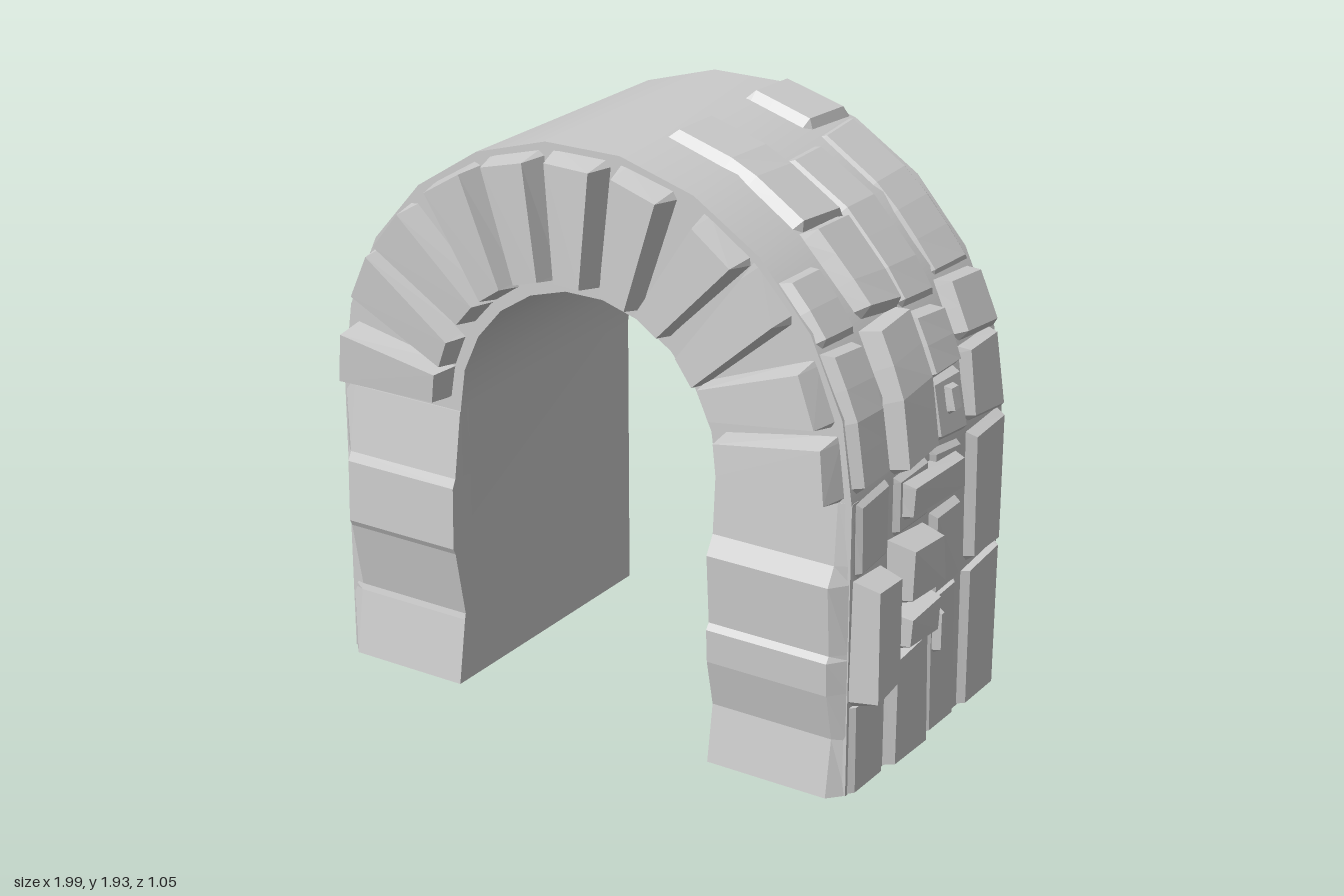
import * as THREE from 'three';
import { toCreasedNormals } from 'three/addons/utils/BufferGeometryUtils.js';

const CX = -0.05, CY = 0.96, RO = 0.95, RI = 0.48, BACK = -0.53, FRONT = 0.42;
const SEG = 11, STEP = Math.PI / SEG;
const smooth = new THREE.MeshStandardMaterial({ color: 0xcccccc });
const flat = new THREE.MeshStandardMaterial({ color: 0xcccccc, flatShading: true });

// Faceted surface from a grid of points
function gridGeometry(rows) {
  const pos = [];
  const put = (...ps) => ps.forEach(p => pos.push(p.x, p.y, p.z));
  for (let i = 0; i + 1 < rows.length; i++)
    for (let j = 0; j + 1 < rows[i].length; j++) {
      const a = rows[i][j], b = rows[i + 1][j], c = rows[i + 1][j + 1], d = rows[i][j + 1];
      put(a, b, c, a, c, d);
    }
  const g = new THREE.BufferGeometry();
  g.setAttribute('position', new THREE.Float32BufferAttribute(pos, 3));
  g.computeVertexNormals();
  return g;
}

// Bevelled stone on a surface: corners and heights in the order (u0,v0) (u1,v0) (u1,v1) (u0,v1)
function stone(map, q, h, bevelU, bevelV, n) {
  const mix = (f, s, t) => (1 - t) * ((1 - s) * f(0) + s * f(1)) + t * ((1 - s) * f(3) + s * f(2));
  const ss = [0];
  for (let i = 0; i <= n; i++) ss.push(bevelU + (1 - 2 * bevelU) * i / n);
  ss.push(1);
  const ts = [0, bevelV, 1 - bevelV, 1];
  return gridGeometry(ss.map((s, i) => ts.map((t, j) => {
    const edge = i === 0 || i === ss.length - 1 || j === 0 || j === 3;
    return map(mix(k => q[k][0], s, t), mix(k => q[k][1], s, t), edge ? -0.01 : mix(k => h[k], s, t));
  })));
}

// Right outer wall: u climbs the jamb, then follows the faceted arch; v is z
function wall(u, v, d) {
  if (u <= CY) return new THREE.Vector3(CX + RO + d, Math.max(0, u), v);
  const a = (u - CY) / RO;
  const r = RO * Math.cos(STEP / 2) / Math.cos((a % STEP) - STEP / 2) + d;
  return new THREE.Vector3(CX + r * Math.cos(a), CY + r * Math.sin(a), v);
}

// Front face of the arch: u is radius, v is angle
const face = (u, v, d) => new THREE.Vector3(CX + u * Math.cos(v), CY + u * Math.sin(v), FRONT + d);

export function createModel() {
  const model = new THREE.Group();
  const add = (geo, name, material, parent) => {
    const mesh = new THREE.Mesh(geo, material);
    mesh.name = name;
    parent.add(mesh);
  };
  const group = name => {
    const g = new THREE.Group();
    g.name = name;
    model.add(g);
    return g;
  };
  let seed = 7;
  const jitter = amount => {
    seed = (seed * 16807) % 2147483647;
    return amount * (2 * seed / 2147483647 - 1);
  };

  // Plain vaulted body
  const arc = r => Array.from({ length: SEG + 1 }, (_, i) =>
    new THREE.Vector2(CX + r * Math.cos(i * STEP), CY + r * Math.sin(i * STEP)));
  const foot = x => new THREE.Vector2(CX + x, 0);
  const outline = [foot(RO), ...arc(RO), foot(-RO), foot(-RI), ...arc(RI).reverse(), foot(RI)];
  const body = new THREE.ExtrudeGeometry(new THREE.Shape(outline), { depth: FRONT - BACK, bevelEnabled: false });
  body.translate(0, 0, BACK);
  add(toCreasedNormals(body, 0.5), 'archBody', smooth, model);

  // Ring of eleven tapered stones on the front, each turned a little
  const ring = group('archStones');
  const skews = [0.02, 0.05, -0.03, 0.03, -0.02, 0, 0.02, 0.03, -0.02, 0.04, -0.02];
  skews.forEach((skew, i) => {
    const a = (i + 0.5) * STEP, w = 0.116, ri = 0.515, ro = 0.925;
    const q = [[ri, a - w + skew], [ro, a - w - skew], [ro, a + w - skew], [ri, a + w + skew]];
    const h = 0.1 - 0.5 * Math.abs(skew);
    add(stone(face, q, [h, 0.095, 0.08, h - 0.01], 0.045, 0.1, 1), 'archStone' + (i + 1), flat, ring);
  });

  // Wavy, corner-bevelled courses on the front of each jamb, as pairs of y and z
  const jamb = (name, side, levels) => {
    const row = (y, z) => {
      const r = [[RO, FRONT - 0.04], [RO, FRONT - 0.005], [RO - 0.045, z], [RI, z], [RI, FRONT - 0.04]]
        .map(([x, pz]) => new THREE.Vector3(CX + side * x, y, pz));
      return side > 0 ? r : r.reverse();
    };
    const cap = r => r.map(p => new THREE.Vector3(p.x, p.y, FRONT - 0.04));
    const rows = levels.map(([y, z]) => row(y, z));
    add(gridGeometry([cap(rows[0]), ...rows, cap(rows.at(-1))]), name, flat, model);
  };
  jamb('rightJambFront', -1, [[0, 0.465], [0.22, 0.43], [0.24, 0.425], [0.47, 0.47], [0.49, 0.48],
    [0.7, 0.475], [0.73, 0.46], [0.95, 0.425]]);
  jamb('leftJambFront', 1, [[0, 0.465], [0.19, 0.435], [0.35, 0.47], [0.46, 0.475], [0.48, 0.46],
    [0.71, 0.475], [0.77, 0.44], [0.97, 0.425]]);

  // Rough stones on the left flank, slightly out of square
  const flank = group('flankStones');
  const flankStone = (name, u0, u1, z0, z1, h) => {
    const q = [[u0, z0], [u1, z0], [u1, z1], [u0, z1]].map(([u, z]) =>
      [u > 0 ? u + jitter(0.018) : 0, THREE.MathUtils.clamp(z + jitter(0.012), BACK, FRONT)]);
    const heights = q.map(() => h * (1 + jitter(0.15)) - 0.003);
    const n = u1 > 1.3 ? Math.ceil((u1 - u0) / 0.13) : 1;
    const bevelU = u0 === 0 ? 0.01 : 0.03 / (u1 - u0);
    add(stone(wall, q, heights, bevelU, 0.03 / (z1 - z0), n), name, flat, flank);
  };

  // Four stacked columns: z range, course joints going up, height of each course
  const columns = {
    rear: [-0.525, -0.285, [0, 0.49, 0.97, 1.24, 1.45, 2.06, 2.33], [0.025, 0.03, 0.035, 0.05, 0.012, 0.032]],
    second: [-0.265, -0.05, [0, 0.47, 0.79, 0.98, 1.2, 1.42, 2.04], [0.018, 0.025, 0.02, 0.03, 0.045, 0.022]],
    middle: [-0.05, 0.19, [0, 0.38, 0.54, 0.76, 0.98, 1.45, 1.77, 2.33],
      [0.035, 0.075, 0.085, 0.02, 0.062, 0.05, 0.035]],
    front: [0.2, 0.415, [0, 0.3, 0.72, 0.98, 1.43, 1.68], [0.02, 0.09, 0.018, 0.035, 0.025]],
  };
  for (const [name, [z0, z1, joints, heights]] of Object.entries(columns))
    heights.forEach((h, i) => flankStone(name + 'Stone' + (i + 1), joints[i], joints[i + 1], z0, z1, h));

  // Long bonding stone and two chips set over the columns
  flankStone('bondingStone', 0.79, 0.95, -0.23, 0.15, 0.055);
  flankStone('lowerChip', 0.25, 0.44, -0.15, -0.07, 0.042);
  flankStone('upperChip', 1.05, 1.17, -0.22, -0.12, 0.05);
  return model;
}
